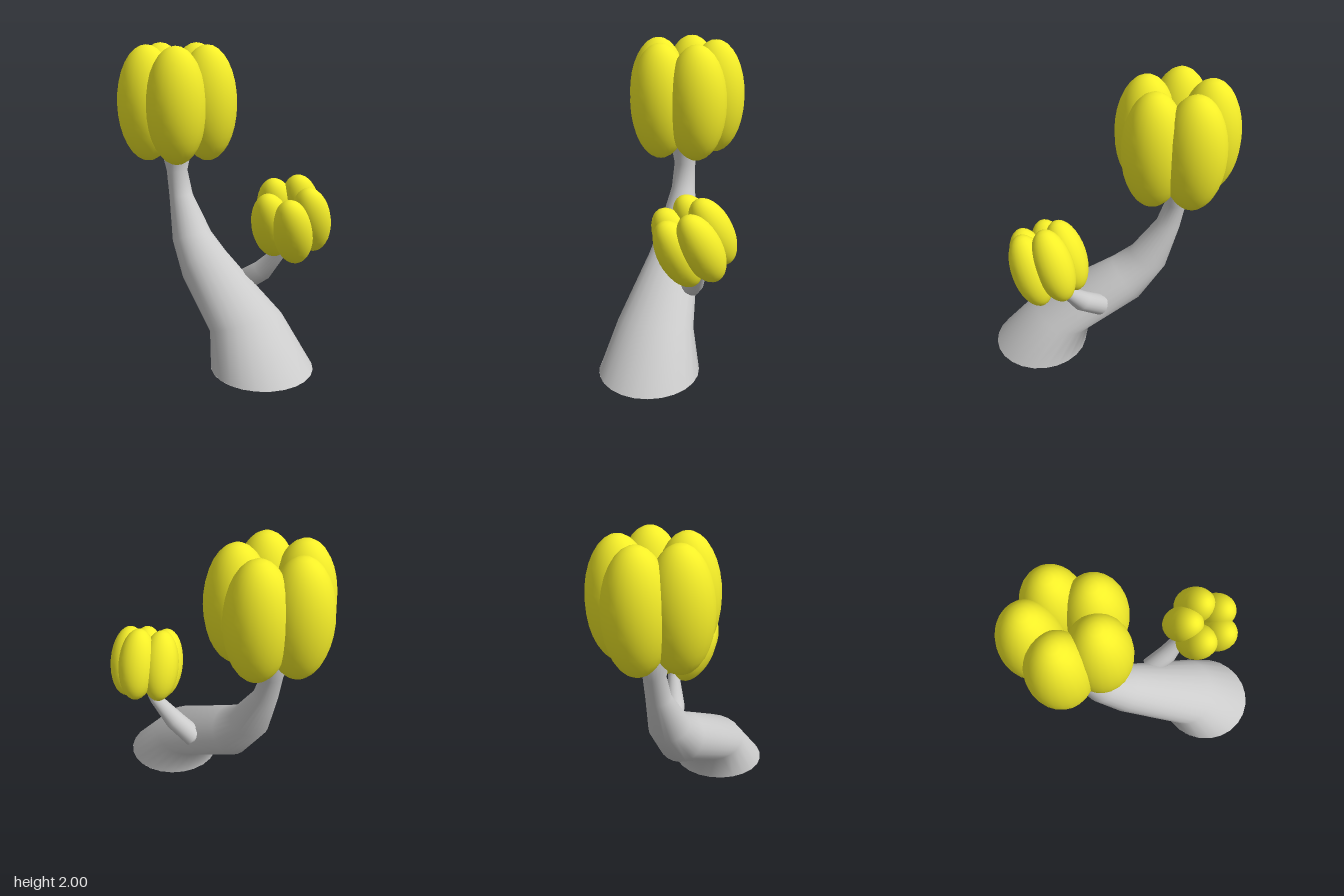
import * as THREE from 'three';

const bark = new THREE.MeshStandardMaterial({ color: 0xcccccc, side: THREE.DoubleSide });
const leaf = new THREE.MeshStandardMaterial({ color: 0xf5ee28 });

// Skin a limb over elliptical rings: [cx, cy, cz,  nx, ny, nz (ring normal),  radius in profile, radius in depth]
function limb(name, rings, sides = 24) {
  const pos = [], idx = [];
  for (const [cx, cy, cz, nx, ny, nz, ra, rb] of rings) {
    const n = new THREE.Vector3(nx, ny, nz).normalize();
    const b = new THREE.Vector3(0, 0, 1).addScaledVector(n, -n.z).normalize();
    const a = new THREE.Vector3().crossVectors(n, b);
    for (let i = 0; i < sides; i++) {
      const t = (i / sides) * Math.PI * 2;
      const p = new THREE.Vector3(cx, cy, cz)
        .addScaledVector(a, Math.cos(t) * ra)
        .addScaledVector(b, Math.sin(t) * rb);
      pos.push(p.x, p.y, p.z);
    }
  }
  for (let r = 0; r < rings.length - 1; r++) {
    for (let i = 0; i < sides; i++) {
      const j = (i + 1) % sides, p = r * sides, q = p + sides;
      idx.push(p + i, p + j, q + i, p + j, q + j, q + i);
    }
  }
  const geo = new THREE.BufferGeometry();
  geo.setAttribute('position', new THREE.Float32BufferAttribute(pos, 3));
  geo.setIndex(idx);
  geo.computeVertexNormals();
  const mesh = new THREE.Mesh(geo, bark);
  mesh.name = name;
  return mesh;
}

// Five upright egg-shaped leaf pods arranged in a ring
function podCluster(name) {
  const cluster = new THREE.Group();
  cluster.name = name;
  const geo = new THREE.SphereGeometry(1, 24, 16);
  geo.scale(0.205, 0.395, 0.205);
  for (let i = 0; i < 5; i++) {
    const t = Math.PI + (i / 5) * Math.PI * 2;
    const pod = new THREE.Mesh(geo, leaf);
    pod.name = 'leafPod';
    pod.position.set(Math.cos(t) * 0.215, 0, Math.sin(t) * 0.215);
    cluster.add(pod);
  }
  return cluster;
}

export function createModel() {
  const tree = new THREE.Group();
  tree.name = 'tree';

  // Leaning trunk with a flared foot
  tree.add(limb('trunk', [
    [0.515, 0, 0.063, 0, 1, 0, 0.33, 0.328],
    [0.348, 0.248, 0.063, -0.165, 0.385, 0, 0.21, 0.255],
    [-0.118, 0.505, 0.063, -0.29, 0.195, 0, 0.175, 0.175],
    [-0.275, 0.675, 0.063, -0.11, 0.25, 0, 0.137, 0.14],
    [-0.408, 0.945, 0.063, -0.03, 0.16, 0, 0.083, 0.083],
    [-0.455, 1.12, 0.063, 0, 1, 0, 0.07, 0.075],
    [-0.46, 1.25, 0.063, 0, 1, 0, 0.11, 0.1],
    [-0.44, 1.42, 0.063, 0, 1, 0, 0.1, 0.1],
  ]));

  // Flat underside of the trunk
  const foot = new THREE.Mesh(new THREE.CircleGeometry(0.329, 24), bark);
  foot.name = 'trunkUnderside';
  foot.rotation.x = Math.PI / 2;
  foot.position.set(0.515, 0, 0.063);
  tree.add(foot);

  // Side branch growing from the back of the trunk
  tree.add(limb('branch', [
    [0.07, 0.41, -0.09, 0.6, 0.5, -0.4, 0.02, 0.02],
    [0.1, 0.42, -0.11, 0.6, 0.5, -0.4, 0.075, 0.075],
    [0.23, 0.52, -0.165, 0.6, 0.7, -0.3, 0.07, 0.07],
    [0.345, 0.685, -0.235, 0.4, 0.9, -0.1, 0.04, 0.045],
    [0.4, 0.8, -0.235, 0.3, 0.9, 0.2, 0.06, 0.06],
    [0.43, 0.9, -0.22, 0.23, 0.9, 0.38, 0.06, 0.06],
  ], 20));

  // Large upright crown
  const crown = podCluster('largeCrown');
  crown.position.set(-0.432, 1.605, 0.062);
  tree.add(crown);

  // Small crown tilted forward and outward
  const small = podCluster('smallCrown');
  small.scale.setScalar(0.62);
  small.position.set(0.45, 0.93, -0.212);
  small.quaternion.setFromUnitVectors(
    new THREE.Vector3(0, 1, 0),
    new THREE.Vector3(0.26, 1, 0.4).normalize(),
  );
  tree.add(small);

  return tree;
}
